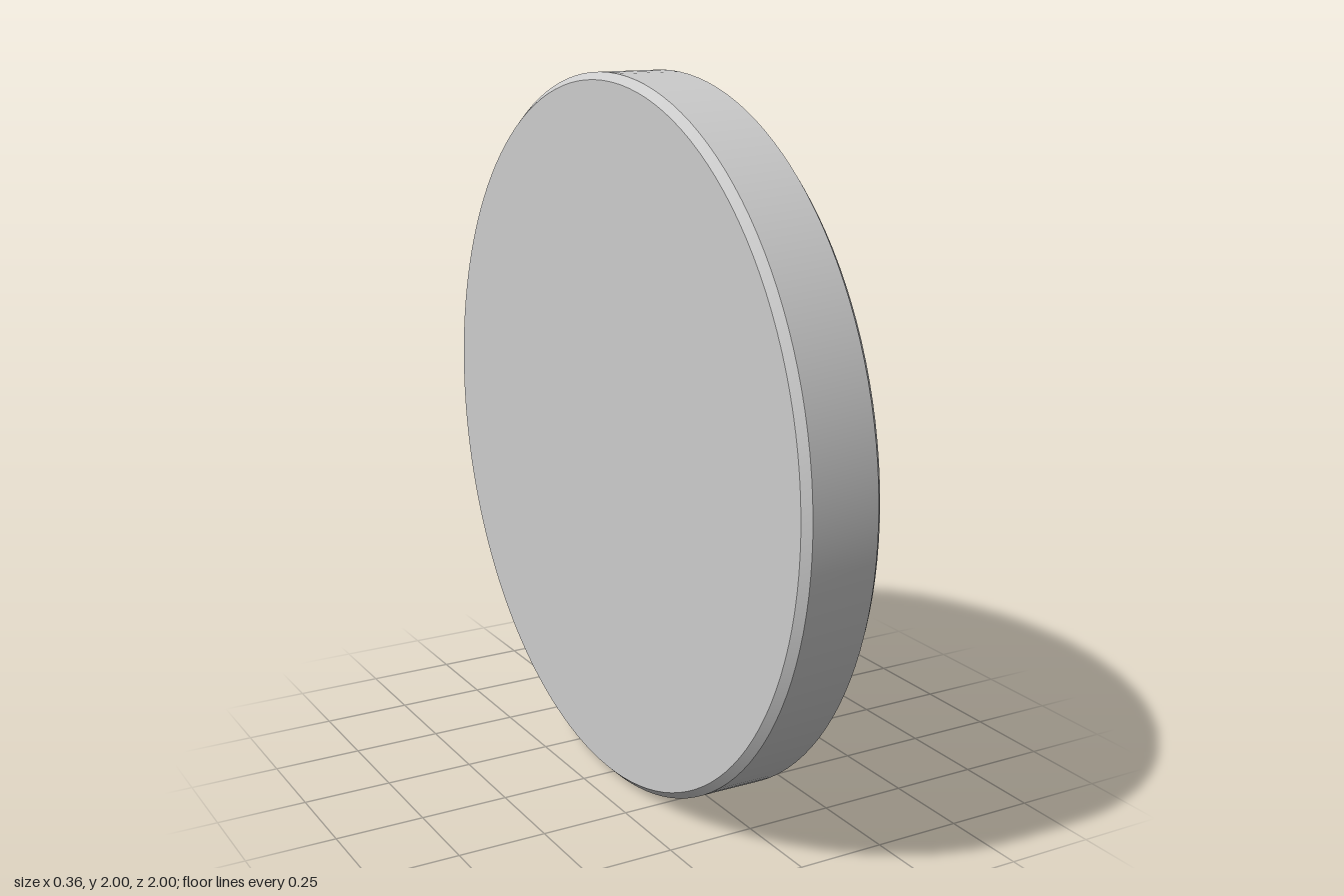
import * as THREE from 'three';
import { toCreasedNormals } from 'three/addons/utils/BufferGeometryUtils.js';

export function createModel() {
  const model = new THREE.Group();
  const material = new THREE.MeshStandardMaterial({ color: 0xcccccc });

  // Profile as [radius, height]: flat back, chamfer, rim, chamfer, shallow cone, flat cap
  const profile = [
    [0, -0.172], [0.98, -0.172], [1, -0.152], [1, 0.034],
    [0.98, 0.052], [0.463, 0.172], [0, 0.172],
  ].map(([r, h]) => new THREE.Vector2(r, h));

  // Smooth around the axis, sharp between the bands
  const geometry = toCreasedNormals(new THREE.LatheGeometry(profile, 128), 0.1);
  geometry.rotateZ(-Math.PI / 2); // the domed side faces +x
  geometry.rotateY(-0.008); // slight yaw of the disc

  const disc = new THREE.Mesh(geometry, material);
  disc.name = 'disc';
  disc.position.y = 1;
  model.add(disc);
  return model;
}
